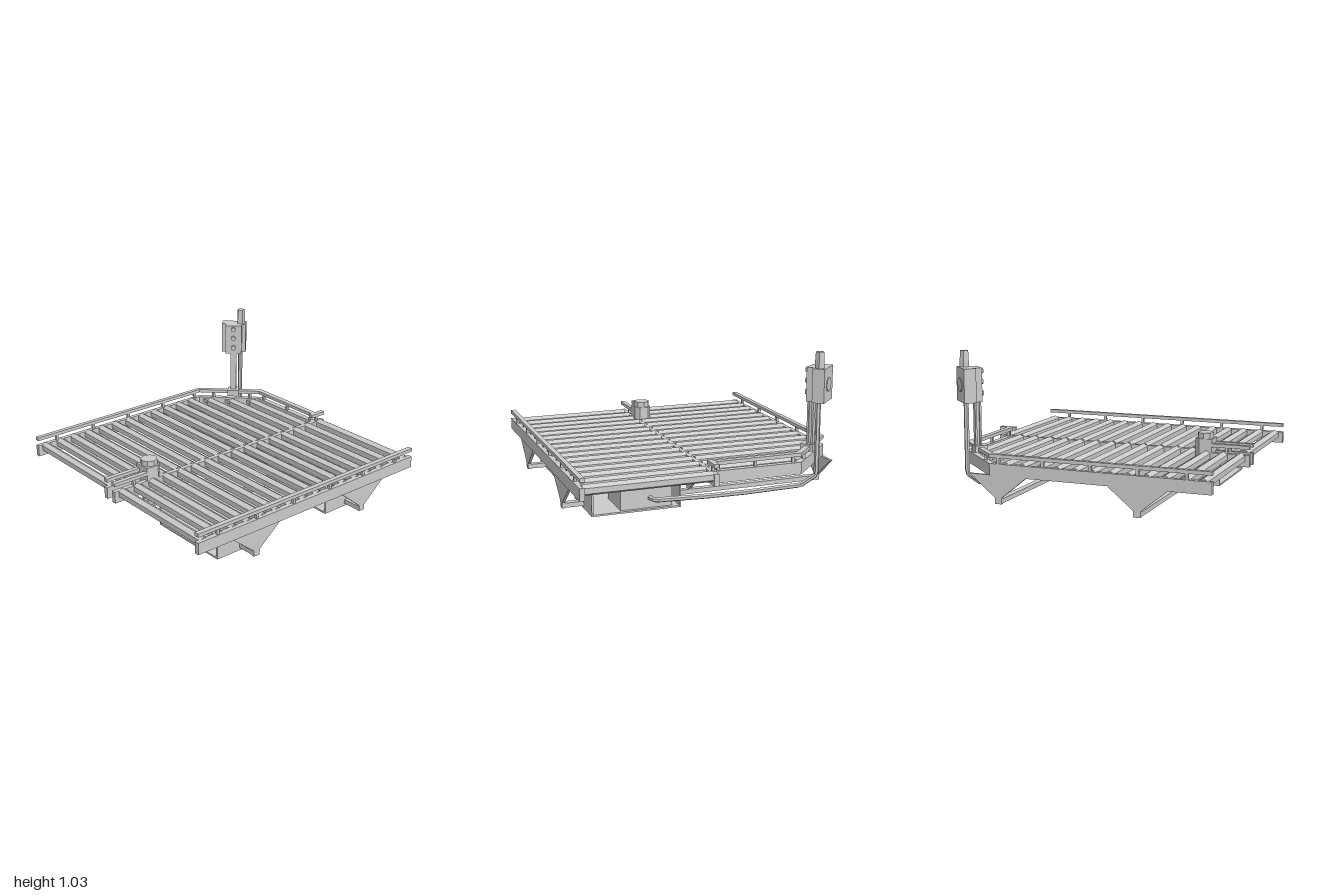
import * as THREE from 'three';

export function createModel() {
  const root = new THREE.Group();
  const mat = new THREE.MeshStandardMaterial({ color: 0xcccccc, flatShading: true, side: THREE.DoubleSide });
  const add = (name, geo, parent = root) => {
    const m = new THREE.Mesh(geo, mat);
    m.name = name;
    parent.add(m);
    return m;
  };
  // box given by its minimum and maximum on each axis
  const box = (name, x0, x1, y0, y1, z0, z1, parent) =>
    add(name, new THREE.BoxGeometry(x1 - x0, y1 - y0, z1 - z0)
      .translate((x0 + x1) / 2, (y0 + y1) / 2, (z0 + z1) / 2), parent);
  // plan outline of [x, z] points raised from y0 to y1
  const plan = (name, pts, y0, y1) => {
    const shape = new THREE.Shape(pts.map(([x, z]) => new THREE.Vector2(x, -z)));
    const geo = new THREE.ExtrudeGeometry(shape, { depth: y1 - y0, bevelEnabled: false });
    return add(name, geo.rotateX(-Math.PI / 2).translate(0, y0, 0));
  };
  const column = (name, r0, r1, sides, x, y0, y1, z, parent) =>
    add(name, new THREE.CylinderGeometry(r1, r0, y1 - y0, sides).translate(x, (y0 + y1) / 2, z), parent);

  // Frame: side beams, centre beam and the chamfered back-left corner
  const BEAM = [0.21, 0.295], RAIL = [0.335, 0.36];
  const cornerPath = [[-0.97, 1], [-0.97, -0.56], [-0.605, -0.935], [0.03, -0.935],
    [0.03, -0.892], [-0.588, -0.892], [-0.937, -0.543], [-0.937, 1]];
  plan('leftBeam', cornerPath, ...BEAM);
  plan('leftRail', cornerPath, ...RAIL);
  box('rightBeam', 0.935, 0.97, ...BEAM, -1, 1);
  box('rightRail', 0.935, 0.97, ...RAIL, -1, 1);
  box('centreBeam', 0.025, 0.06, ...BEAM, -1, 1);
  box('centreRailBack', 0.025, 0.06, ...RAIL, -1, -0.87);
  box('centreRailFront', 0.025, 0.06, ...RAIL, 0.72, 1);
  box('shortBeam', -0.067, -0.032, ...BEAM, 0.66, 1);
  box('shortRail', -0.067, -0.032, ...RAIL, 0.72, 1);

  // Small posts carrying the rails
  const railPost = (x, z) => box('railPost', x - 0.01, x + 0.01, 0.29, 0.34, z - 0.01, z + 0.01);
  for (const z of [-0.83, -0.5, -0.17, 0.17, 0.5, 0.83]) {
    railPost(0.952, z);
    if (z > -0.55) railPost(-0.953, z);
  }
  for (const [x, z] of [[-0.87, -0.637], [-0.66, -0.853], [-0.55, -0.913], [-0.27, -0.913], [0, -0.913],
    [0.042, -0.93], [0.042, 0.83], [-0.05, 0.83]]) railPost(x, z);

  // Deck of hexagonal slats, shortened at the chamfer and the front gap
  const slat = (x0, x1, z) => {
    const g = new THREE.CylinderGeometry(0.038, 0.038, x1 - x0, 6);
    // ridge on top
    g.rotateZ(Math.PI / 2);
    const p = g.attributes.position;
    let top = 0;
    for (let i = 0; i < p.count; i++) top = Math.max(top, p.getY(i));
    if (top < 0.037) g.rotateX(Math.PI / 6);
    add('slat', g.translate((x0 + x1) / 2, 0.27, z));
  };
  const slatStart = { 1: -0.6, 2: -0.715, 3: -0.84 };
  for (let i = 0; i < 16; i++) {
    const z = -0.957 + 0.1261 * i;
    slat(0.053, 0.945, z);
    if (i === 0) continue;
    const start = slatStart[i] ?? -0.945;
    slat(start, z > 0.65 ? -0.045 : 0.032, z);
    // stubs joining short slats to the diagonal beam
    if (slatStart[i]) box('slatStub', start - 0.085, start + 0.01, 0.25, 0.28, z - 0.01, z + 0.012);
  }

  // Supports: gusset plates, cross bars and open equipment boxes
  const gussetShape = new THREE.Shape([[-0.215, 0.215], [-0.025, 0.06], [-0.025, 0.018],
    [0.025, 0.018], [0.025, 0.06], [0.215, 0.215]].map(([a, b]) => new THREE.Vector2(a, b)));
  const casing = new THREE.Shape([[0.183, 0], [0.812, 0], [0.812, 0.22], [0.183, 0.22]]
    .map(([a, b]) => new THREE.Vector2(a, b)));
  casing.holes.push(new THREE.Path([[0.195, 0.012], [0.195, 0.21], [0.8, 0.21], [0.8, 0.012]]
    .map(([a, b]) => new THREE.Vector2(a, b))));
  for (const z of [-0.5, 0.5]) {
    for (const x of [-0.955, 0.042, 0.952]) {
      const g = new THREE.ExtrudeGeometry(gussetShape, { depth: 0.02, bevelEnabled: false });
      add('gusset', g.rotateY(Math.PI / 2).translate(x - 0.01, 0, z));
    }
    for (const y of [0.02, 0.14]) {
      box('crossBarLeft', -0.955, 0.185, y, y + 0.032, z - 0.023, z + 0.023);
      box('crossBarRight', 0.81, 0.95, y, y + 0.032, z - 0.023, z + 0.023);
    }
    add('equipmentBox', new THREE.ExtrudeGeometry(casing, { depth: 0.43, bevelEnabled: false })
      .translate(0, 0, z - 0.215));
  }
  // Unit standing inside the back box
  box('innerUnit', 0.24, 0.605, 0.012, 0.155, -0.69, -0.4);
  box('innerUnitPanel', 0.26, 0.585, 0.04, 0.135, -0.4, -0.385);

  // Front drive: housing between the beams with an octagonal cap
  plan('driveHousing', [[-0.065, 0.725], [-0.065, 0.63], [-0.035, 0.595], [0.03, 0.595],
    [0.06, 0.63], [0.06, 0.725]], 0.2, 0.39);
  column('driveCap', 0.06, 0.06, 8, -0.003, 0.39, 0.43, 0.662);
  column('driveBody', 0.05, 0.05, 8, -0.008, 0.06, 0.21, 0.662);

  // Pipes made of straight runs
  const pipe = (name, pts) => {
    const path = new THREE.CurvePath();
    const v = pts.map((p) => new THREE.Vector3(...p));
    for (let i = 1; i < v.length; i++) path.add(new THREE.LineCurve3(v[i - 1], v[i]));
    add(name, new THREE.TubeGeometry(path, 60, 0.018, 6));
  };
  pipe('drivePipe', [[0, 0.12, 0.64], [0.08, 0.105, 0.47], [0.2, 0.085, 0.13],
    [0.355, 0.082, -0.08], [0.34, 0.082, -0.25], [0.345, 0.08, -0.42]]);
  pipe('signalPipe', [[0.4, 0.08, -0.68], [0.38, 0.08, -0.75], [0, 0.062, -0.735], [-0.28, 0.062, -0.745],
    [-0.68, 0.085, -0.79], [-0.77, 0.165, -0.84], [-0.77, 0.7, -0.84]]);

  // Signal post turned to the diagonal: local +z points outwards to the back left
  const signal = new THREE.Group();
  signal.name = 'signalPost';
  signal.rotation.y = -Math.PI * 0.75;
  root.add(signal);
  box('postBase', -0.045, 0.045, 0.322, 0.372, 1.015, 1.105, signal);
  for (const z of [1.058, 1.09]) box('postFlange', -0.024, 0.024, 0.37, 0.9, z - 0.006, z + 0.006, signal);
  box('postWeb', -0.008, 0.008, 0.37, 0.9, 1.058, 1.09, signal);
  box('controlPanel', -0.064, 0.064, 0.68, 0.917, 1.054, 1.106, signal);
  box('controlBox', -0.095, 0.098, 0.68, 0.917, 1.105, 1.19, signal);
  for (const y of [0.735, 0.815, 0.89]) {
    add('button', new THREE.CylinderGeometry(0.02, 0.02, 0.03, 6).rotateX(Math.PI / 2).translate(0, y, 1.045), signal);
  }
  add('backDisc', new THREE.CylinderGeometry(0.05, 0.05, 0.008, 12).rotateX(Math.PI / 2).translate(0, 0.8, 1.192), signal);
  column('beaconBase', 0.034, 0.034, 5, -0.77, 0.91, 0.95, -0.845);
  column('beacon', 0.034, 0.03, 5, -0.77, 0.95, 1.03, -0.845);
  return root;
}
